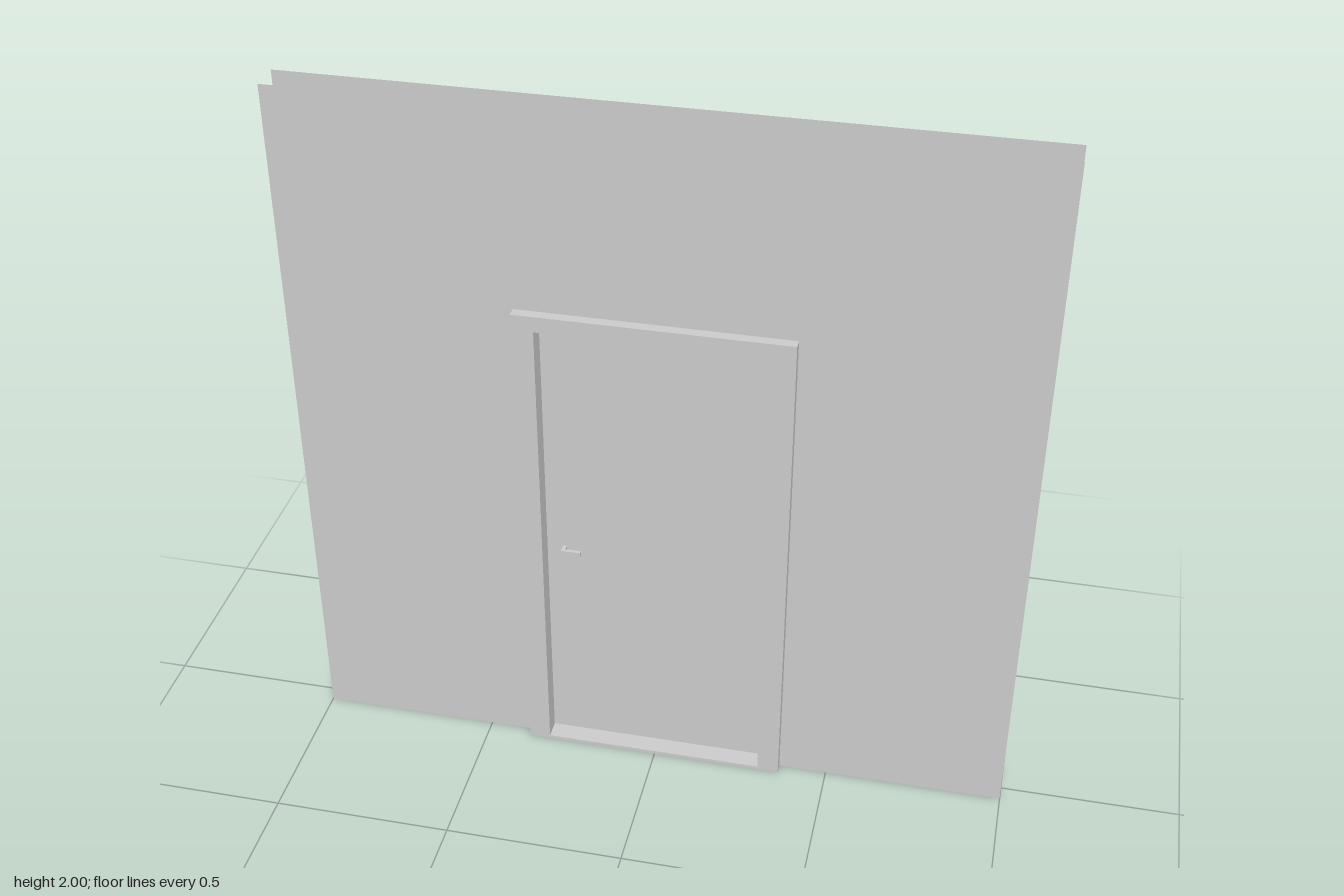
import * as THREE from 'three';

const grey = new THREE.MeshStandardMaterial({ color: 0xcccccc, flatShading: true });
const greyDouble = new THREE.MeshStandardMaterial({ color: 0xcccccc, flatShading: true, side: THREE.DoubleSide });

// Outer and inner edges of the door frame, and half depths
const OUT = { x0: -0.375, x1: 0.365, top: 1.44 };
const IN = { x0: -0.315, x1: 0.305, top: 1.395, bottom: 0.01 };
const FRAME_Z = 0.073, WALL_Z = 0.044, DOOR_Z = 0.019;

// Box given by its minimum and maximum corners
function box(name, [x0, y0, z0], [x1, y1, z1]) {
  const geometry = new THREE.BoxGeometry(x1 - x0, y1 - y0, z1 - z0);
  geometry.translate((x0 + x1) / 2, (y0 + y1) / 2, (z0 + z1) / 2);
  const mesh = new THREE.Mesh(geometry, grey);
  mesh.name = name;
  return mesh;
}

// Jamb: a box left open underneath
function jamb(name, x0, x1) {
  const mesh = box(name, [x0, 0, -FRAME_Z], [x1, IN.top, FRAME_Z]);
  const index = Array.from(mesh.geometry.index.array);
  index.splice(18, 6); // bottom face
  mesh.geometry.setIndex(index);
  mesh.geometry.clearGroups();
  return mesh;
}

// Thin wall sheet with a doorway cut up from the floor
function wall(name, z) {
  const outline = [
    [-1, 0], [OUT.x0, 0], [OUT.x0, OUT.top], [OUT.x1, OUT.top],
    [OUT.x1, 0], [1, 0], [1, 2], [-1, 2],
  ].map(([x, y]) => new THREE.Vector2(x, y));
  const mesh = new THREE.Mesh(new THREE.ShapeGeometry(new THREE.Shape(outline)), greyDouble);
  mesh.name = name;
  // Turn the rear sheet outward while keeping the doorway in place
  if (z < 0) {
    const index = Array.from(mesh.geometry.index.array).reverse();
    mesh.geometry.setIndex(index);
    mesh.geometry.computeVertexNormals();
  }
  mesh.position.z = z;
  return mesh;
}

// Lever handle on one side of the door
function handle(name, side) {
  const group = new THREE.Group();
  group.name = name;
  const span = (a, b) => [Math.min(side * a, side * b), Math.max(side * a, side * b)];
  const [s0, s1] = span(DOOR_Z, 0.036);
  const [l0, l1] = span(0.036, 0.046);
  group.add(
    box('handleStem', [-0.27, 0.669, s0], [-0.259, 0.681, s1]),
    box('handleLever', [-0.27, 0.669, l0], [-0.215, 0.681, l1]),
  );
  return group;
}

export function createModel() {
  const model = new THREE.Group();
  model.name = 'doorInWall';

  model.add(wall('frontWall', WALL_Z), wall('backWall', -WALL_Z));

  // Frame
  const frame = new THREE.Group();
  frame.name = 'doorFrame';
  frame.add(
    jamb('rightJamb', OUT.x0, IN.x0),
    jamb('leftJamb', IN.x1, OUT.x1),
    box('header', [OUT.x0, IN.top, -FRAME_Z], [OUT.x1, OUT.top, FRAME_Z]),
    box('threshold', [IN.x0, 0, -FRAME_Z], [IN.x1, IN.bottom, FRAME_Z]),
  );
  model.add(frame);

  // Door leaf and its handles
  model.add(
    box('doorLeaf', [IN.x0, IN.bottom, -DOOR_Z], [IN.x1, IN.top, DOOR_Z]),
    handle('frontHandle', 1),
    handle('backHandle', -1),
  );
  return model;
}
